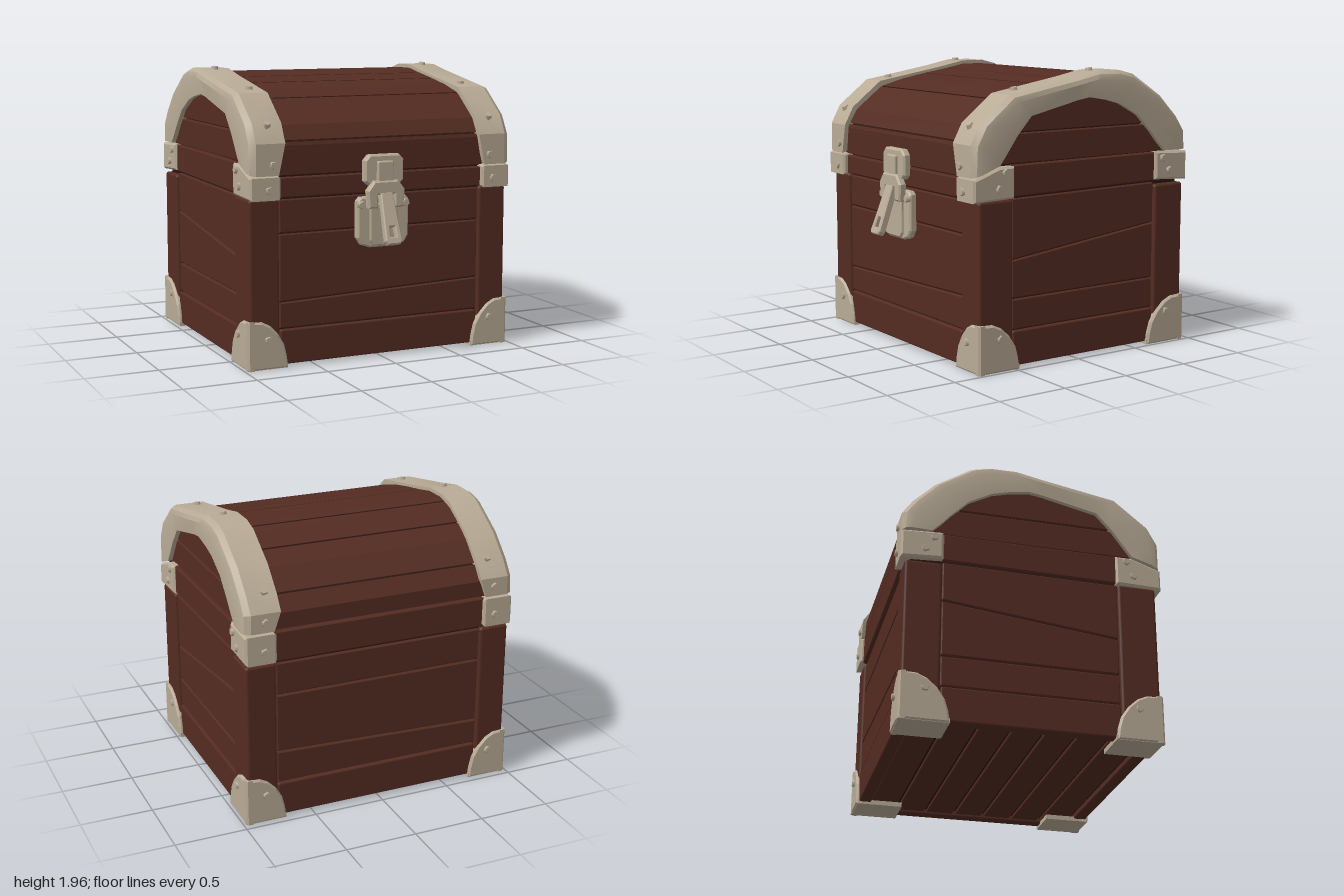
import * as THREE from 'three';
import { toCreasedNormals } from 'three/addons/utils/BufferGeometryUtils.js';
import { RoundedBoxGeometry } from 'three/addons/geometries/RoundedBoxGeometry.js';

export function createModel() {
  const chest = new THREE.Group();
  chest.name = 'treasureChest';
  const wood = new THREE.MeshStandardMaterial({ color: 0x542c22 });
  wood.name = 'brown wood';
  const seam = new THREE.MeshStandardMaterial({ color: 0x2e1710 });
  seam.name = 'dark seam';
  const metal = new THREE.MeshStandardMaterial({ color: 0xb9ab96 });
  metal.name = 'pale metal';

  const add = (name, geometry, material) => {
    const mesh = new THREE.Mesh(geometry, material);
    mesh.name = name;
    chest.add(mesh);
    return mesh;
  };
  const box = (name, material, x0, x1, y0, y1, z0, z1, r = 0) => {
    const size = [x1 - x0, y1 - y0, z1 - z0];
    const g = r ? new RoundedBoxGeometry(...size, 2, r) : new THREE.BoxGeometry(...size);
    g.translate((x0 + x1) / 2, (y0 + y1) / 2, (z0 + z1) / 2);
    return add(name, g, material);
  };
  const toShape = (pts) => new THREE.Shape(pts.map(([u, v]) => new THREE.Vector2(u, v)));
  // Bevelled slab that stays inside its outline and spans w0..w1
  const slab = (shape, w0, w1, b) => new THREE.ExtrudeGeometry(shape, {
    depth: w1 - w0 - 2 * b, bevelEnabled: b > 0, bevelSize: b, bevelOffset: -b,
    bevelThickness: b, bevelSegments: 1,
  }).translate(0, 0, w0 + b);
  const slabZ = (name, mat, pts, z0, z1, b = 0.007) => add(name, slab(toShape(pts), z0, z1, b), mat);
  const slabX = (name, mat, pts, x0, x1, b = 0.007) =>
    add(name, slab(toShape(pts.map(([z, y]) => [-z, y])), x0, x1, b).rotateY(Math.PI / 2), mat);
  const span = (s, a, b) => (s > 0 ? [a, b] : [-b, -a]);
  const rivet = (x, y, z, nx, ny, nz, spin = 0) => {
    const m = add('rivet', new THREE.CylinderGeometry(0.024, 0.032, 0.03, 5).rotateY(spin), metal);
    m.position.set(x, y, z);
    m.quaternion.setFromUnitVectors(new THREE.Vector3(0, 1, 0), new THREE.Vector3(nx, ny, nz).normalize());
  };

  // Dark core seen through the gaps between planks
  box('core', seam, -0.925, 0.925, 0.06, 1.34, -0.905, 0.752);

  // Corner posts and bottom rails
  const ends = [{ d: 1, in: 0.52, out: 0.788 }, { d: -1, in: -0.69, out: -0.945 }];
  for (const s of [1, -1]) {
    for (const e of ends) {
      const [z0, z1] = span(e.d, Math.abs(e.in), Math.abs(e.out));
      box('cornerPost', wood, ...span(s, 0.752, 0.965), 0.02, 1.135, z0, z1, 0.02);
    }
    box('sideRail', wood, ...span(s, 0.87, 0.958), 0.02, 0.255, -0.685, 0.515, 0.012);
  }
  box('frontRail', wood, -0.745, 0.745, 0.02, 0.255, 0.69, 0.782, 0.012);
  box('backRail', wood, -0.745, 0.745, 0.02, 0.255, -0.938, -0.85, 0.012);

  // Wall planks with sloping seams
  const planks = (rows, a, b, build) => {
    for (let i = 0; i + 1 < rows.length; i++) {
      const [lo, hi] = [rows[i], rows[i + 1]], g = 0.005;
      build([[a, lo[0] + g], [b, lo[1] + g], [b, hi[1] - g], [a, hi[0] - g]]);
    }
  };
  const longRows = [[0.26, 0.26], [0.44, 0.49], [0.9, 0.9], [1.13, 1.13]];
  const sideRows = [[0.26, 0.26], [0.47, 0.475], [0.73, 0.87], [1.14, 1.155]];
  planks(longRows, -0.748, 0.748, (p) => slabZ('frontPlank', wood, p, 0.73, 0.775));
  planks(longRows, -0.748, 0.748, (p) => slabZ('backPlank', wood, p, -0.93, -0.885));
  for (const s of [1, -1]) {
    planks(sideRows, 0.517, -0.687, (p) => slabX('sidePlank', wood, p, ...span(s, 0.905, 0.948)));
    // Lid rim and end boards
    slabX('sideRim', wood, [[0.52, 1.15], [0.52, 1.355], [-0.69, 1.36], [-0.69, 1.165]], ...span(s, 0.9, 0.956));
    slabX('lidEndLower', wood, [[0.72, 1.365], [0.6, 1.56], [-0.75, 1.56], [-0.87, 1.365]], ...span(s, 0.89, 0.94));
    slabX('lidEndUpper', wood, [[0.57, 1.57], [0.4, 1.71], [0, 1.79], [-0.12, 1.81], [-0.38, 1.76], [-0.66, 1.57]],
      ...span(s, 0.89, 0.94));
  }
  slabZ('frontRim', wood, [[-0.77, 1.14], [0.77, 1.14], [0.77, 1.272], [-0.77, 1.272]], 0.73, 0.795);
  slabZ('backRim', wood, [[-0.77, 1.15], [0.77, 1.15], [0.77, 1.355], [-0.77, 1.355]], -0.95, -0.88);

  // Bottom boards inside the frame
  for (let i = 0; i < 7; i++) {
    const z = -0.845 + i * 0.219;
    box('bottomPlank', wood, -0.87, 0.87, 0.036, 0.08, z, z + 0.196, 0.01);
  }

  // Curved lid boards, each an outer run of the arch with a matching inner run
  const runs = [
    [[0.79, 1.282], [0.8, 1.48], [0.79, 1.51]],
    [[0.79, 1.51], [0.73, 1.61], [0.52, 1.772]],
    [[0.52, 1.772], [0.34, 1.82], [0.15, 1.855]],
    [[0.15, 1.855], [-0.05, 1.887]],
    [[-0.05, 1.887], [-0.2, 1.915], [-0.36, 1.915], [-0.42, 1.9]],
    [[-0.42, 1.9], [-0.5, 1.875], [-0.62, 1.805]],
    [[-0.62, 1.805], [-0.74, 1.72], [-0.87, 1.585]],
    [[-0.87, 1.585], [-0.945, 1.48], [-0.945, 1.365]],
  ];
  const toward = ([z, y], [tz, ty], d) => {
    const l = Math.hypot(tz - z, ty - y);
    return [z + ((tz - z) / l) * d, y + ((ty - y) / l) * d];
  };
  const pull = (p, d) => toward(p, [-0.08, 1.25], d);
  for (const run of runs) {
    // Trim both ends so a narrow gap is left at each seam
    const n = run.length;
    const top = [toward(run[0], run[1], 0.006), ...run.slice(1, -1), toward(run[n - 1], run[n - 2], 0.006)];
    slabX('lidPlank', wood, [...top, ...top.map((p) => pull(p, 0.07)).reverse()], -0.9, 0.9, 0);
  }
  slabX('lidCore', seam, runs.flatMap((r) => r.slice(0, -1)).concat([[-0.945, 1.365]]).map((p) => pull(p, 0.025)),
    -0.91, 0.91, 0);

  // Metal hoops: a section carried over the arch [outer z, y, inner z, y]
  const arch = [
    [0.83, 1.29, 0.63, 1.36], [0.83, 1.5, 0.57, 1.44], [0.76, 1.63, 0.49, 1.55], [0.53, 1.81, 0.38, 1.67],
    [0, 1.9, 0, 1.755], [-0.2, 1.94, -0.1, 1.77], [-0.38, 1.94, -0.25, 1.745], [-0.5, 1.91, -0.36, 1.715],
    [-0.75, 1.75, -0.52, 1.63], [-0.9, 1.6, -0.64, 1.51], [-0.97, 1.5, -0.71, 1.43], [-0.97, 1.37, -0.77, 1.37],
  ];
  const hoop = (s) => {
    const pos = [], idx = [], n = 7;
    arch.forEach(([oz, oy, iz, iy], k) => {
      const x0 = k === 0 || k === arch.length - 1 ? 0.77 : 0.725;
      const mix = (t) => [oz + (iz - oz) * t, oy + (iy - oy) * t];
      const ring = [[x0, mix(0.3)], [x0, mix(0)], [0.93, mix(0)], [0.968, mix(0.12)],
        [0.98, mix(0.32)], [0.972, mix(1)], [0.91, mix(1)]];
      ring.forEach(([x, [z, y]]) => pos.push(s * x, y, z));
    });
    const tri = (a, b, c) => (s > 0 ? idx.push(a, c, b) : idx.push(a, b, c));
    for (let k = 0; k + 1 < arch.length; k++) {
      for (let j = 0; j < n; j++) {
        const a = k * n + j, b = k * n + (j + 1) % n;
        tri(a, a + n, b);
        tri(b, a + n, b + n);
      }
    }
    // End caps
    const last = (arch.length - 1) * n;
    for (let j = 1; j < n - 1; j++) {
      tri(0, j, j + 1);
      tri(last, last + j + 1, last + j);
    }
    const g = new THREE.BufferGeometry();
    g.setAttribute('position', new THREE.Float32BufferAttribute(pos, 3));
    g.setIndex(idx);
    add('lidHoop', toCreasedNormals(g, 0.45), metal);
  };

  for (const s of [1, -1]) {
    hoop(s);
    [[1.36, 0.832, 0, 1], [1.62, 0.765, 0.85, 0.6], [1.835, 0.41, 1, 0.2], [1.942, -0.2, 1, 0.08],
      [1.62, -0.885, 0.7, -0.7], [1.44, -0.972, 0, -1]].forEach(([y, z, ny, nz], i) =>
      rivet(s * (0.81 + 0.02 * (i % 2)), y, z, 0, ny, nz, i));

    // Straps below the hoops
    slabX('frontStrap', metal, [[0.51, 1.14], [0.83, 1.13], [0.83, 1.28], [0.63, 1.35], [0.51, 1.352]],
      ...span(s, 0.755, 0.972), 0.014);
    slabX('backStrap', metal, [[-0.69, 1.17], [-0.975, 1.155], [-0.975, 1.355], [-0.69, 1.368]],
      ...span(s, 0.755, 0.972), 0.014);
    rivet(s * 0.84, 1.195, 0.832, 0, 0, 1, s);
    rivet(s * 0.84, 1.24, -0.977, 0, 0, -1, s);
    [[1.21, 0.635], [1.315, 0.585], [1.23, -0.81], [1.32, -0.75]].forEach(([y, z], i) => rivet(s * 0.975, y, z, s, 0, 0, i));

    // Bottom corner guards: two rounded plates and a foot
    const guard = (u0, u1) => {
      const w = u1 - u0;
      return [[u1, 0], [u0, 0], [u0 + 0.01 * Math.sign(w), 0.08], [u0 + w * 0.1, 0.16], [u0 + w * 0.25, 0.235],
        [u0 + w * 0.45, 0.295], [u0 + w * 0.65, 0.325], [u1, 0.33]];
    };
    for (const [zi, zo] of [[0.475, 0.803], [-0.625, -0.96]]) {
      const d = Math.sign(zo);
      slabZ('cornerGuard', metal, guard(s * 0.695, s * 0.985), ...span(d, Math.abs(zo) - 0.06, Math.abs(zo)), 0.014);
      slabX('cornerGuard', metal, guard(zi, zo), ...span(s, 0.925, 0.985), 0.014);
      box('cornerFoot', metal, ...span(s, 0.7, 0.976), 0.002, 0.035, ...span(d, Math.abs(zi), Math.abs(zo) - 0.008));
      rivet(s * 0.84, 0.2, zo + d * 0.003, 0, 0, d, s);
      rivet(s * 0.985, 0.225, zo - d * 0.17, s, 0, 0, d);
    }
  }

  // Lock: hasp plate, hinge, loop, lock plate and hanging tongue
  const mid = -0.012;
  const sym = (half) => [...half, ...half.map(([x, y]) => [-x, y]).reverse()].map(([x, y]) => [x + mid, y]);
  slabZ('haspPlate', metal, sym([[0.11, 1.19], [0.145, 1.22], [0.145, 1.36], [0.11, 1.398]]), 0.785, 0.845, 0.012);
  box('haspHinge', metal, mid - 0.06, mid + 0.06, 1.2, 1.355, 0.83, 0.868, 0.012);
  slabZ('lockPlate', metal, sym([[0.1, 0.77], [0.16, 0.79], [0.192, 0.84], [0.192, 1.09], [0.165, 1.115]]), 0.77, 0.828, 0.012);
  slabZ('lockRidge', metal, sym([[0.08, 0.785], [0.105, 0.82], [0.105, 1.07]]), 0.815, 0.845);
  slabZ('haspLoop', metal, sym([[0.06, 1.13], [0.06, 1.04], [0.13, 1.04], [0.14, 1.16], [0.09, 1.225]]), 0.82, 0.878, 0.012);
  for (const s of [1, -1]) rivet(mid + s * 0.165, 1.065, 0.835, 0, 0, 1, s);
  const tongue = toShape([[-0.06, -0.31], [-0.045, -0.335], [0.045, -0.335], [0.06, -0.31], [0.045, 0.02], [-0.045, 0.02]]);
  tongue.holes.push(new THREE.Path([[-0.024, -0.285], [-0.02, -0.215], [0.02, -0.215], [0.024, -0.285]]
    .map((p) => new THREE.Vector2(...p))));
  const hanging = add('lockTongue', slab(tongue, -0.026, 0.026, 0.007), metal);
  hanging.position.set(mid, 1.12, 0.862);
  hanging.rotation.x = -0.36;

  return chest;
}
